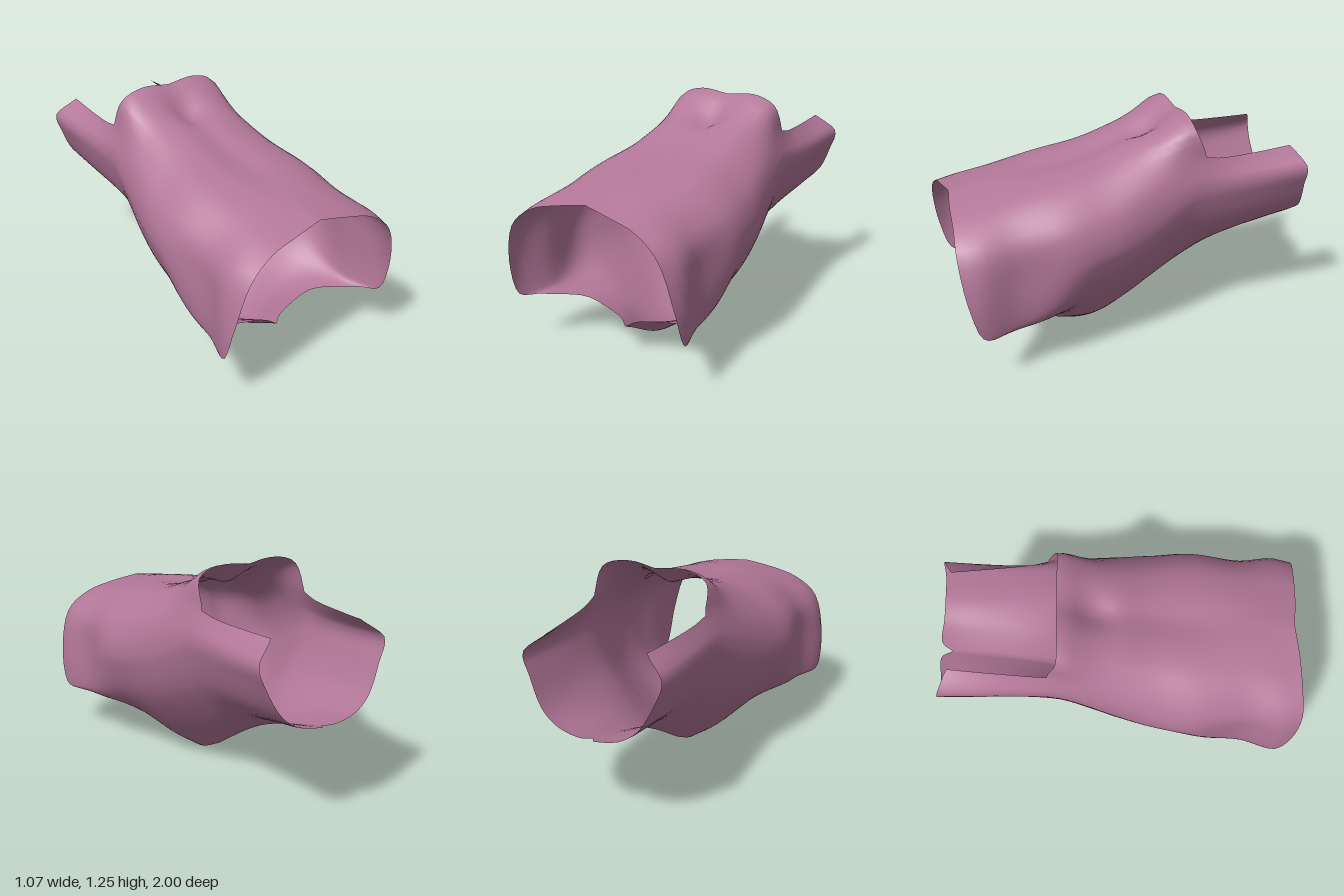
import * as THREE from 'three';

const STEPS = 4;        // columns between neighbouring section points
const BODY_ROWS = 28;
const TAIL_ROWS = 14;
const SIDE_EDGE = 6;    // section point where the open back begins

// Section shapes as [x, y] from keel to spine: x in half-widths,
// y from 0 (keel) over 1 (widest level) to 2 (top)
const FRONT = [[0, 0], [.13, .11], [.62, .17], [.94, .22], [1, .31], [1, 1], [.89, 1.56], [.63, 1.83], [.31, 1.94], [0, 2]];
const WAIST = [[0, 0], [.14, .11], [.62, .18], [.93, .26], [1, .45], [1, 1], [.96, 1.48], [.7, 1.83], [.34, 1.97], [0, 2]];
const MIDDLE = [[0, 0], [.29, .15], [.58, .345], [.83, .56], [.96, .78], [1, 1], [.91, 1.46], [.64, 1.87], [.32, 2], [0, 1.96]];
const NECK = [[0, 0], [.27, .11], [.54, .28], [.81, .52], [.97, .8], [1, 1], [.89, 1.41], [.81, 1.85], [.46, 2.01], [0, 1.97]];
const TAIL = [[0, 0], [.13, .02], [.45, .09], [.71, .29], [.91, .67], [1, 1], [.7, 1.36], [.6, 1.5], [.4, 1.8], [0, 2]];
const SHAPES = [TAIL, NECK, MIDDLE, MIDDLE, WAIST, FRONT];
const SHAPE_Z = [-.95, -.32, -.03, .35, .7, .95];

// Size along the length
const SIZE_Z = [-1, -.7, -.47, -.3, -.15, 0, .2, .42, .7, .9, 1];
const KEEL = [.57, .475, .385, .29, .19, .09, .002, .028, .165, .19, .2];
const WIDTH = [.38, .37, .365, .375, .405, .44, .487, .515, .478, .53, .515];
const WIDEST = [.95, .92, .91, .91, .85, .78, .71, .67, .57, .52, .5];
const TOP = [1.2, 1.2, 1.2, 1.24, 1.165, 1.105, 1.03, .985, .945, .912, .897];

// Where each section point meets the front rim, the start of the opening and the rear rim
const FRONT_RIM = [.685, .65, .62, .78, .91, .975, 1, .99, .98, .96];
const OPENING = [-.3, -.3, -.3, -.3, -.31, -.33, -.36, -.305, -.3, -.3];
const REAR_RIM = [-.935, -.995, -.985, -.97, -.945, -.935, -.875];
const POINTS = FRONT_RIM.map((_, i) => i);

// Smooth interpolation through values given at ascending keys
function interpolate(keys, values, x) {
  const last = values.length - 1;
  const at = THREE.MathUtils.clamp(x, keys[0], keys[last]);
  let i = 0;
  while (i < last - 1 && at > keys[i + 1]) i++;
  const slope = k => {
    const a = Math.max(k - 1, 0), b = Math.min(k + 1, last);
    return (values[b] - values[a]) / (keys[b] - keys[a]);
  };
  const h = keys[i + 1] - keys[i], t = (at - keys[i]) / h, t2 = t * t, t3 = t2 * t;
  return values[i] * (2 * t3 - 3 * t2 + 1) + values[i + 1] * (3 * t2 - 2 * t3)
    + h * (slope(i) * (t3 - 2 * t2 + t) + slope(i + 1) * (t3 - t2));
}

// Shallow hollow on the spine ahead of the opening
function hollow(x, z) {
  return .045 * Math.exp(-((x / .1) ** 2) - ((z + .11) / .1) ** 2);
}

// Point on the right half of the skin
function skinPoint(u, z) {
  const [sx, y] = [0, 1].map(axis => interpolate(SHAPE_Z,
    SHAPES.map(shape => interpolate(POINTS, shape.map(p => p[axis]), u)), z));
  const [keel, width, widest, top] = [KEEL, WIDTH, WIDEST, TOP].map(v => interpolate(SIZE_Z, v, z));
  const x = sx * width;
  const height = y < 1
    ? keel + (widest - keel) * y
    : widest + (top - widest) * (y - 1) - hollow(x, z);
  return [x, height, z];
}

function shellGeometry() {
  const half = (POINTS.length - 1) * STEPS;
  const around = half * 2;
  const fold = j => (j <= half ? j : around - j);
  const rowZ = (row, u) => {
    const opening = interpolate(POINTS, OPENING, u);
    if (row <= BODY_ROWS || u > SIDE_EDGE) {
      const t = Math.min(row / BODY_ROWS, 1);
      return THREE.MathUtils.lerp(interpolate(POINTS, FRONT_RIM, u), opening, t);
    }
    return THREE.MathUtils.lerp(opening, interpolate(POINTS, REAR_RIM, u), (row - BODY_ROWS) / TAIL_ROWS);
  };

  // Closed rings, up one side and down its mirror image
  const positions = [], index = [];
  const rows = BODY_ROWS + TAIL_ROWS;
  for (let i = 0; i <= rows; i++) {
    for (let j = 0; j < around; j++) {
      const u = fold(j) / STEPS;
      const [x, y, z] = skinPoint(u, rowZ(i, u));
      positions.push(j <= half ? x : -x, y, z);
    }
  }
  // Faces, leaving the upper back open
  for (let i = 0; i < rows; i++) {
    for (let j = 0; j < around; j++) {
      const next = (j + 1) % around;
      if (i >= BODY_ROWS && Math.max(fold(j), fold(next)) > SIDE_EDGE * STEPS) continue;
      const a = i * around + j, b = i * around + next;
      const c = a + around, d = b + around;
      index.push(a, c, b, b, c, d);
    }
  }
  const geometry = new THREE.BufferGeometry();
  geometry.setAttribute('position', new THREE.Float32BufferAttribute(positions, 3));
  geometry.setIndex(index);
  geometry.computeVertexNormals();
  return geometry;
}

export function createModel() {
  const group = new THREE.Group();
  group.name = 'openShell';
  const mauve = new THREE.MeshStandardMaterial({ color: 0xb4789a, side: THREE.DoubleSide });
  mauve.name = 'mauve';
  const shell = new THREE.Mesh(shellGeometry(), mauve);
  shell.name = 'shell';
  group.add(shell);
  return group;
}
